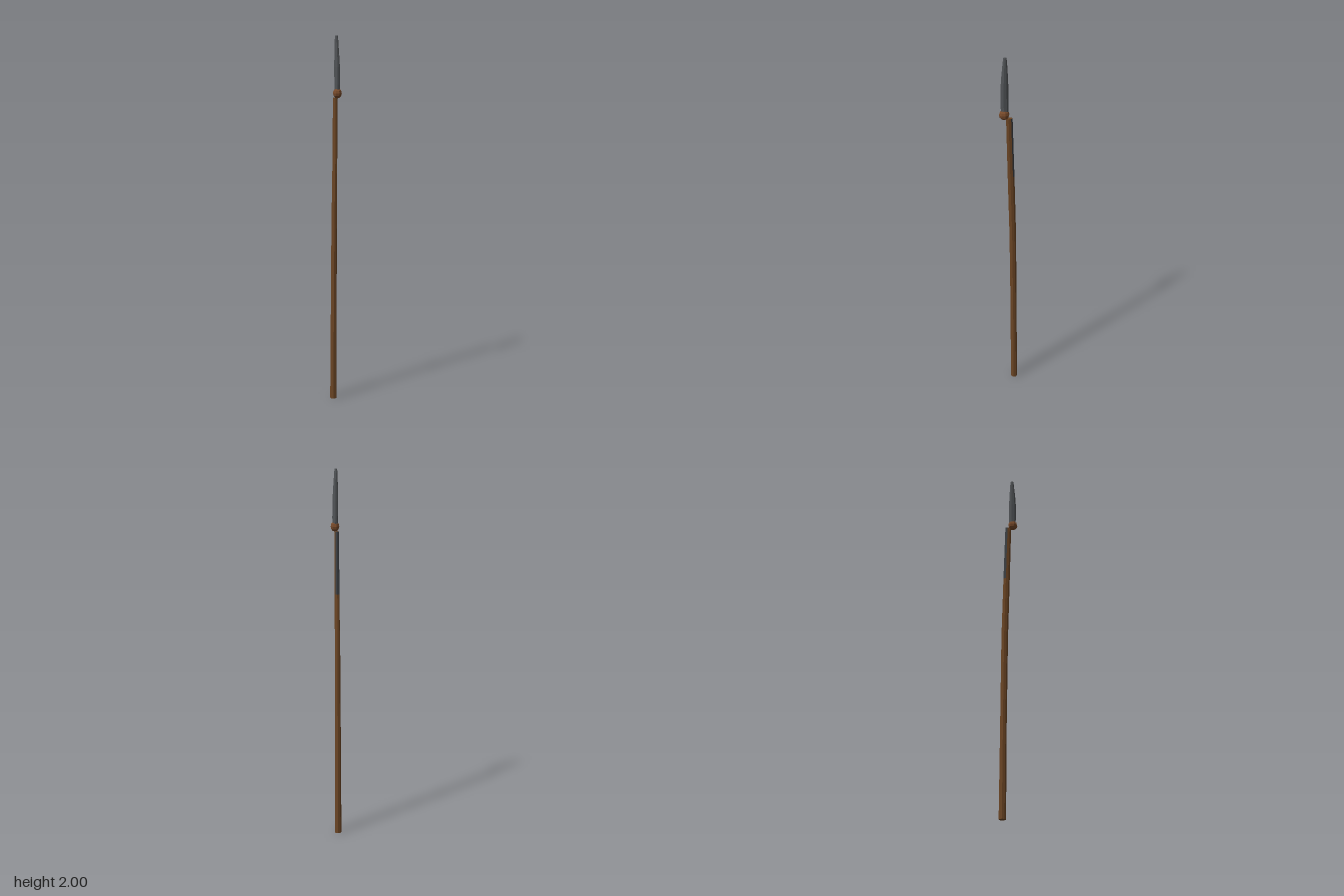
import * as THREE from 'three';

const SIDES = 8;
const makeMaterial = (name, color) => Object.assign(
  new THREE.MeshStandardMaterial({ color, flatShading: true }), { name });

// Faceted tube through stations [y, x centre, z centre, x radius, z radius].
// pick(face, level) gives the material index of each side face; caps use index 0.
function loft(stations, pick = () => 0) {
  const buckets = [[], []];
  const point = ([y, cx, cz, rx, rz], i) => {
    const a = ((i - 0.5) / SIDES) * Math.PI * 2;
    const k = 1 / Math.cos(Math.PI / SIDES);
    return [cx + Math.sin(a) * rx * k, y, cz + Math.cos(a) * rz * k];
  };
  for (let j = 0; j < stations.length - 1; j++) {
    for (let i = 0; i < SIDES; i++) {
      const [a, b] = [point(stations[j], i), point(stations[j], i + 1)];
      const [d, c] = [point(stations[j + 1], i), point(stations[j + 1], i + 1)];
      buckets[pick(i, j)].push(...a, ...b, ...c, ...a, ...c, ...d);
    }
  }
  const low = stations[0], high = stations[stations.length - 1];
  for (let i = 0; i < SIDES; i++) {
    buckets[0].push(low[1], low[0], low[2], ...point(low, i + 1), ...point(low, i));
    buckets[0].push(high[1], high[0], high[2], ...point(high, i), ...point(high, i + 1));
  }
  const geometry = new THREE.BufferGeometry();
  geometry.setAttribute('position',
    new THREE.Float32BufferAttribute([...buckets[0], ...buckets[1]], 3));
  geometry.addGroup(0, buckets[0].length / 3, 0);
  geometry.addGroup(buckets[0].length / 3, buckets[1].length / 3, 1);
  geometry.computeVertexNormals();
  return geometry;
}

export function createModel() {
  const group = new THREE.Group();
  const wood = makeMaterial('wood', 0x6b4524);
  const binding = makeMaterial('binding', 0x76492a);
  const steel = makeMaterial('steel', 0x505356);
  const darkSteel = makeMaterial('darkSteel', 0x3c4044);

  const add = (name, geometry, material) => {
    const mesh = new THREE.Mesh(geometry, material);
    mesh.name = name;
    group.add(mesh);
    return mesh;
  };

  // Gently bowed shaft with a steel strip along the upper back
  const shaft = [
    [0, 0, -0.033, 0.017, 0.017],
    [0.04, 0, -0.033, 0.017, 0.017],
    [0.5, 0, -0.029, 0.015, 0.016],
    [1.0, 0, -0.023, 0.013, 0.017],
    [1.35, 0, -0.013, 0.011, 0.017],
    [1.68, -0.002, -0.004, 0.01, 0.016],
  ];
  add('shaft', loft(shaft, (i, j) => (j === 4 && i >= 3 && i <= 5 ? 1 : 0)), [wood, darkSteel]);

  // Faceted knob joining shaft and blade
  const knob = add('knob', new THREE.SphereGeometry(1, 8, 6), binding);
  knob.scale.set(0.024, 0.027, 0.027);
  knob.position.set(-0.001, 1.704, 0.023);

  // Narrow blade, tapering to a blunt tip
  add('blade', loft([
    [1.7, -0.001, 0.02, 0.013, 0.017],
    [1.75, -0.001, 0.021, 0.013, 0.019],
    [1.84, -0.002, 0.021, 0.013, 0.019],
    [1.9, -0.003, 0.02, 0.011, 0.016],
    [1.98, -0.004, 0.018, 0.008, 0.01],
    [2.0, -0.004, 0.018, 0.006, 0.007],
  ]), [steel, steel]);

  return group;
}
